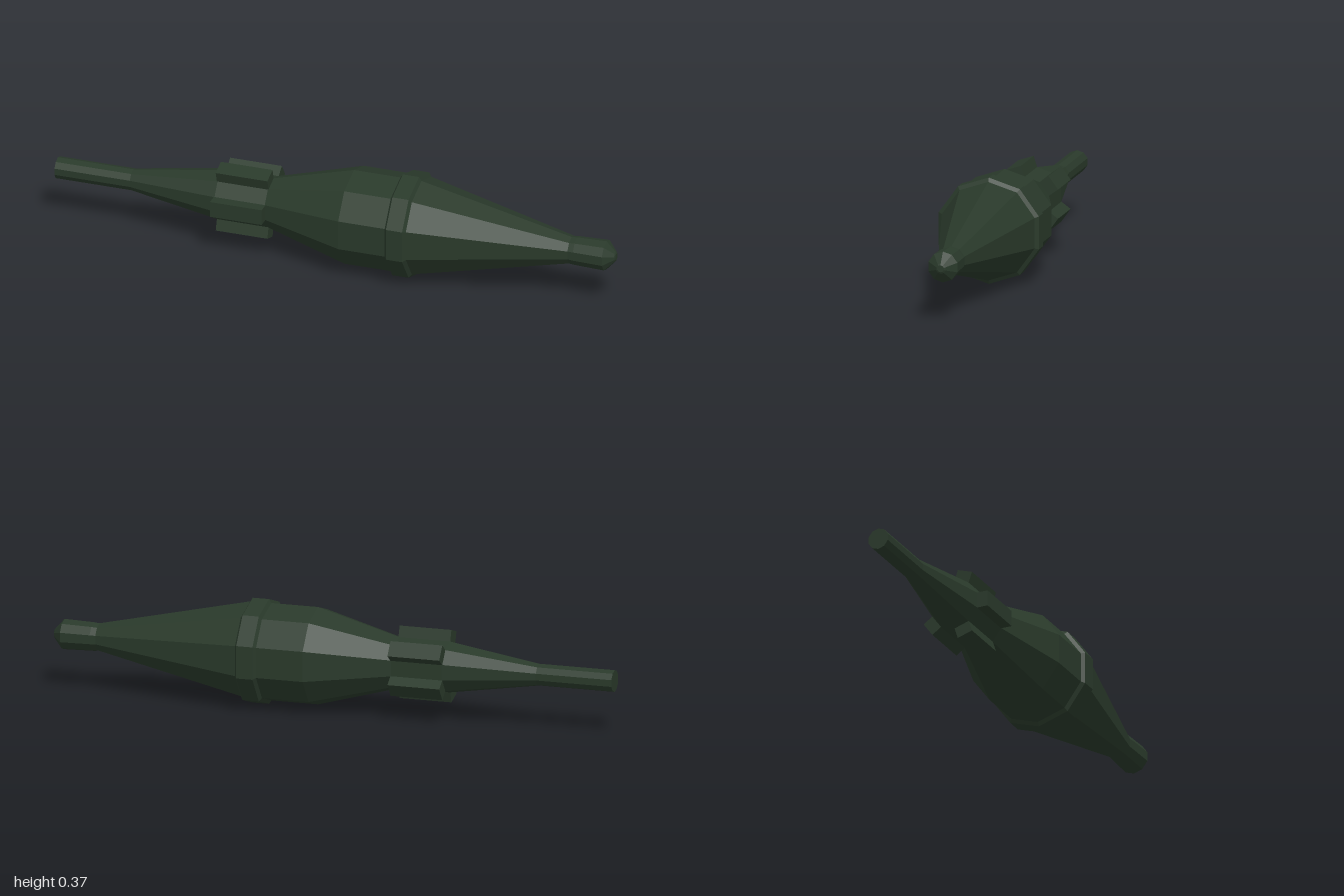
import * as THREE from 'three';

const SIDES = 10;

// Ten-sided solid turned about the x axis from [x, radius] points, with edges at top and bottom
function turned(name, points, material) {
  const profile = points.map(([x, r]) => new THREE.Vector2(r, x));
  const geometry = new THREE.LatheGeometry(profile, SIDES, Math.PI / 2);
  geometry.rotateZ(-Math.PI / 2);
  const mesh = new THREE.Mesh(geometry, material);
  mesh.name = name;
  return mesh;
}

export function createModel() {
  const group = new THREE.Group();
  group.name = 'finnedProjectile';
  const green = new THREE.MeshStandardMaterial({ color: 0x29392a, flatShading: true });

  const hull = new THREE.Group();
  hull.name = 'hull';
  hull.position.y = 0.183;
  group.add(hull);

  // Tail tube, flared fin seat and rear cone
  hull.add(turned('tail', [
    [-1, 0], [-1, 0.038], [-0.73, 0.038], [-0.41, 0.089], [-0.23, 0.089], [0.06, 0.17],
  ], green));

  // Widest section, long front cone and nose collar
  hull.add(turned('warhead', [
    [0.06, 0.17], [0.3, 0.17], [0.84, 0.048], [0.86, 0.05], [0.965, 0.053],
    [0.997, 0.018], [1, 0.012], [1, 0],
  ], green));

  // Raised band with bevelled edges
  hull.add(turned('band', [
    [0.225, 0.168], [0.235, 0.183], [0.293, 0.183], [0.303, 0.168],
  ], green));

  // Five blocks on every other facet of the fin seat
  for (let i = 0; i < 5; i++) {
    const fin = new THREE.Mesh(new THREE.BoxGeometry(0.185, 0.056, 0.046), green);
    fin.geometry.translate(-0.32, 0, 0.101);
    fin.rotation.x = (i * Math.PI * 2) / 5;
    fin.name = 'fin' + (i + 1);
    hull.add(fin);
  }
  return group;
}
